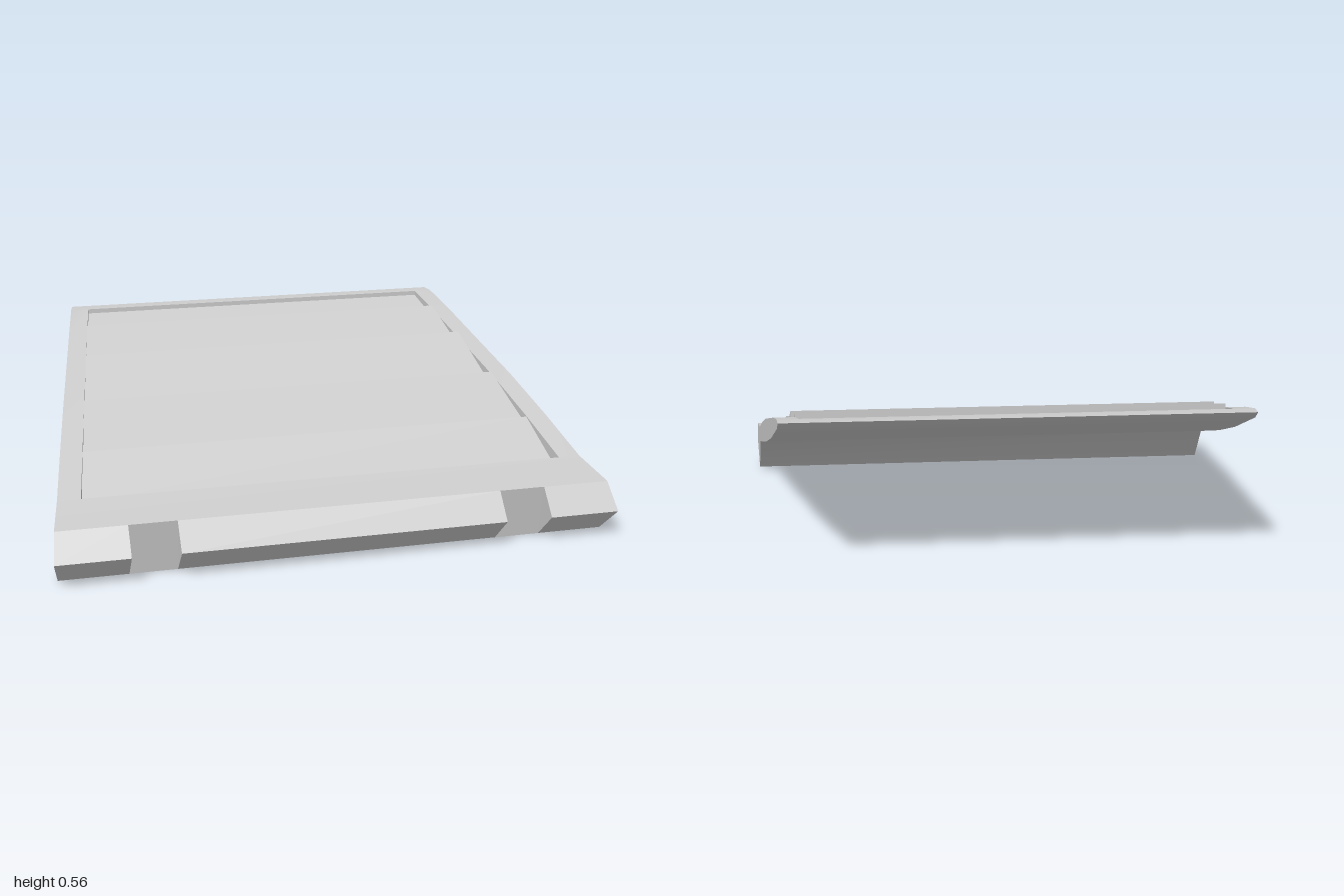
import * as THREE from 'three';
import { toCreasedNormals } from 'three/addons/utils/BufferGeometryUtils.js';

const material = new THREE.MeshStandardMaterial({ color: 0xcccccc });

// half widths of the tapered plate and of its sunken panel, as functions of z
const outer = z => 0.9 + 0.122 * z;
const inner = z => 0.822 + 0.115 * z;
const neg = f => z => -f(z);

// ribbon following [z, y] points, spanning from x = a(z) to x = b(z)
function strip(pts, a, b) {
  const out = [];
  for (let i = 0; i < pts.length - 1; i++) {
    const [z0, y0] = pts[i], [z1, y1] = pts[i + 1];
    const A = [a(z0), y0, z0], B = [b(z0), y0, z0], C = [b(z1), y1, z1], D = [a(z1), y1, z1];
    out.push(...A, ...B, ...C, ...A, ...C, ...D);
  }
  return out;
}

// filled side face of a [z, y] polygon lying at x(z), facing +x (dir 1) or -x (dir -1)
function cap(pts, x, dir) {
  const v = pts.map(p => new THREE.Vector2(p[0], p[1]));
  const out = [];
  for (const t of THREE.ShapeUtils.triangulateShape(v, [])) {
    const [p, q, r] = t.map(i => v[i]);
    const area = (q.x - p.x) * (r.y - p.y) - (q.y - p.y) * (r.x - p.x);
    const order = area * dir < 0 ? [p, q, r] : [p, r, q];
    for (const c of order) out.push(x(c.x), c.y, c.x);
  }
  return out;
}

// closed prism of a [z, y] polygon listed front, top, back, bottom
function prism(pts, a, b) {
  return [...strip([...pts, pts[0]], a, b), ...cap(pts, b, 1), ...cap(pts, a, -1)];
}

function part(name, positions) {
  const g = new THREE.BufferGeometry();
  g.setAttribute('position', new THREE.Float32BufferAttribute(positions, 3));
  const mesh = new THREE.Mesh(toCreasedNormals(g, 0.7), material);
  mesh.name = name;
  return mesh;
}

export function createModel() {
  const group = new THREE.Group();
  group.name = 'slattedRamp';

  // side profile of the plate
  const shoulder = [0.738, 0.196], tip = [0.71, 0.003], nose = [0.82, 0.11];
  const rim = [[0.545, 0.225], [0.29, 0.305], [0, 0.387], [-0.31, 0.46], [-0.57, 0.522], [-0.76, 0.56]];
  const back = [[-0.76, 0.56], [-0.82, 0.56], [-0.77, 0.53], [-0.6, 0.475], [-0.37, 0.4],
    [0, 0.296], [0.29, 0.222], [0.53, 0.165], tip, shoulder];

  // plate shell: front lip, rear lip, underside and front wall
  const left = neg(outer), profile = [shoulder, ...rim, ...back.slice(1, -1)];
  group.add(part('plateShell', [
    ...strip([shoulder, rim[0]], left, outer),
    ...strip(back, left, outer),
    ...strip(rim, left, neg(inner)),
    ...strip(rim, inner, outer),
    ...cap(profile, outer, 1),
    ...cap(profile, left, -1),
  ]));

  // front nose in three lengths, leaving two notches
  const at = x => () => x;
  const spans = [[left, at(-0.745)], [at(-0.578), at(0.578)], [at(0.745), outer]];
  spans.forEach(([a, b], i) => {
    group.add(part(`nose${i + 1}`, prism([nose, shoulder, tip], a, b)));
  });

  // sunken panel: low front edge of each slat, then the walls around it
  const low = [[0.505, 0.19], [0.29, 0.27], [-0.01, 0.345], [-0.315, 0.43], [-0.575, 0.49], [-0.76, 0.542]];
  const wall = [...rim, ...[...low].reverse()];
  group.add(part('panelWalls', [
    ...strip([rim[0], low[0]], neg(inner), inner),
    ...strip([low[5], rim[5]], neg(inner), inner),
    ...cap(wall, inner, -1),
    ...cap(wall, neg(inner), 1),
  ]));

  // overlapping slats, each rising to a step at its rear edge
  const high = [0.302, 0.397, 0.486, 0.537];
  high.forEach((y, i) => {
    const tri = [low[i], [low[i + 1][0], y], low[i + 1]];
    group.add(part(`slat${i + 1}`, prism(tri, neg(inner), inner)));
  });
  group.add(part('slat5', strip([low[4], low[5]], neg(inner), inner)));

  return group;
}
